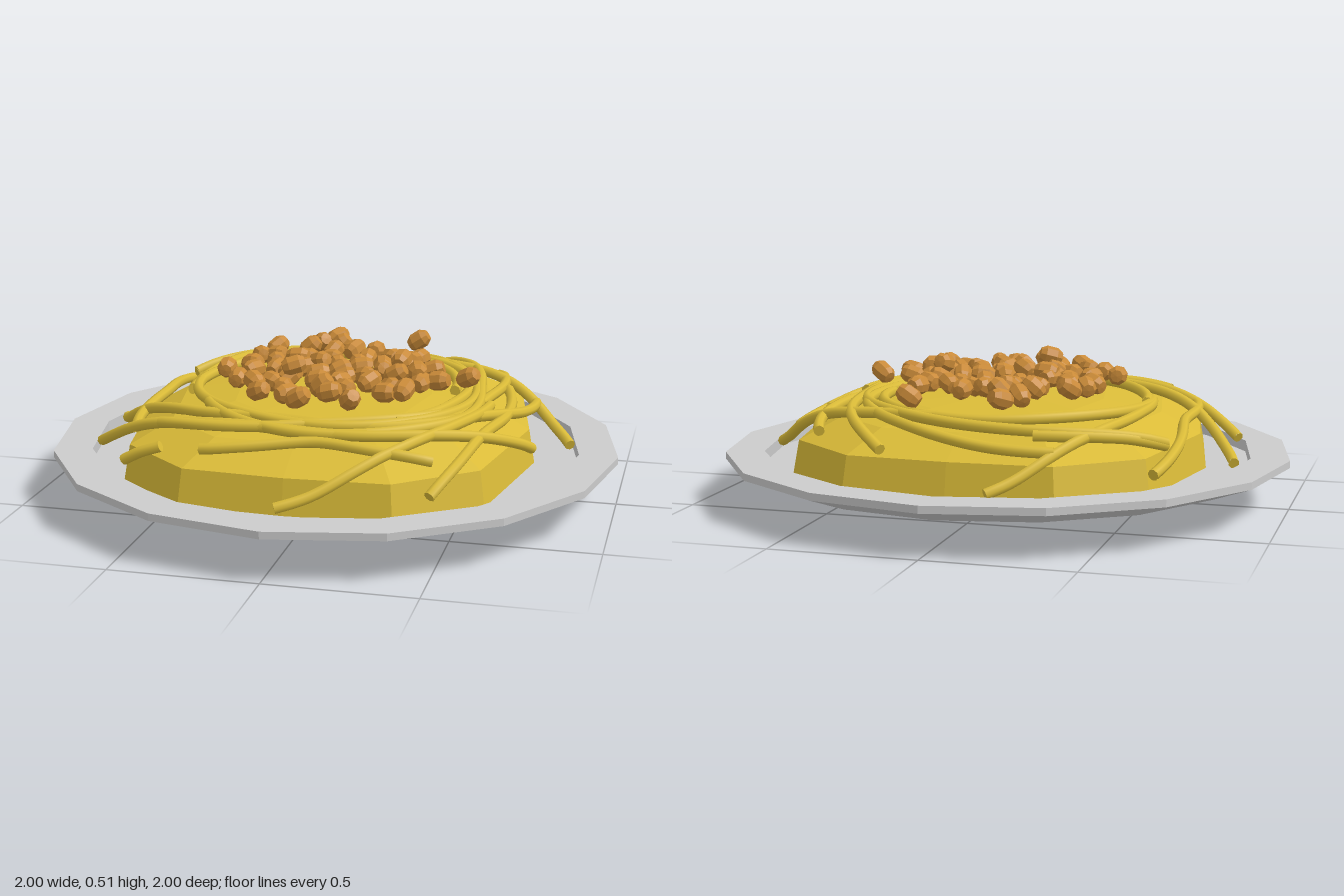
import * as THREE from 'three';

const plateGrey = new THREE.MeshStandardMaterial({ color: 0xcccccc, name: 'plateGrey' });
const pastaYellow = new THREE.MeshStandardMaterial({ color: 0xdabb38, name: 'pastaYellow' });
const meatBrown = new THREE.MeshStandardMaterial({ color: 0xc98a38, name: 'meatBrown' });

let seed = 7;
const rand = () => (seed = (seed * 16807) % 2147483647) / 2147483647;

function facet(geometry) {
  const g = geometry.toNonIndexed();
  g.computeVertexNormals();
  return g;
}

function lathe(points, sides) {
  return new THREE.LatheGeometry(points.map(([r, y]) => new THREE.Vector2(r, y)), sides);
}

function addMesh(parent, geometry, material, name) {
  const mesh = new THREE.Mesh(geometry, material);
  mesh.name = name;
  parent.add(mesh);
  return mesh;
}

function addGroup(parent, name) {
  const group = new THREE.Group();
  group.name = name;
  parent.add(group);
  return group;
}

// Mound: a twelve-sided dome, squared off towards front and back
function moundGeometry() {
  const g = lathe([[1.03, 0.13], [1, 0.25], [0.8, 0.32], [0.5, 0.355], [0, 0.375]], 12);
  const p = g.attributes.position;
  for (let i = 0; i < p.count; i++) {
    const x = p.getX(i), z = p.getZ(i), r = Math.hypot(x, z);
    const c = r > 0 ? z / r : 0;
    p.setX(i, x * 0.69);
    p.setZ(i, r * c * (1.5 - 0.5 * c * c) * 0.72);
  }
  return facet(g);
}

// Resting height of a strand over the mound and the plate floor
const drape = [[0, 0.375], [0.5, 0.363], [0.8, 0.335], [0.9, 0.31], [1, 0.262], [1.07, 0.21], [1.2, 0.16], [3, 0.16]];
function strandHeight(x, z) {
  const s = Math.cbrt(Math.abs(x / 0.69) ** 3 + Math.abs(z / 0.72) ** 3);
  const i = drape.findIndex(([r]) => r > s);
  const [r0, y0] = drape[i - 1], [r1, y1] = drape[i];
  return y0 + (y1 - y0) * (s - r0) / (r1 - r0);
}

// Strands winding round the mound: start angle, end angle, then evenly spaced radii
const strands = [
  [259, 169, 0.845, 0.66, 0.54, 0.51],
  [243, 412, 0.74, 0.61, 0.51, 0.45, 0.48],
  [210, 540, 0.74, 0.55, 0.5, 0.5, 0.46, 0.5],
  [221, 145, 0.84, 0.64, 0.73],
  [186, -24, 0.825, 0.58, 0.44, 0.5, 0.57, 0.74],
  [160, 13, 0.83, 0.54, 0.58, 0.74],
  [135, 127, 0.83, 0.75],
  [115, 52, 0.71, 0.59, 0.74],
  [90, 5, 0.83, 0.68, 0.585, 0.56],
  [56, -23, 0.835, 0.66, 0.62, 0.63],
  [-8, -78, 0.83, 0.69, 0.55, 0.49],
  [-72, 142, 0.74, 0.52, 0.56, 0.54, 0.48],
  [-47, 34, 0.74, 0.54, 0.53],
  [169, 353, 0.51, 0.5, 0.49, 0.42],
  [137, 31, 0.68, 0.46, 0.49],
  [210, 247, 0.74, 0.69, 0.64],
];

function addStrand(parent, [from, to, ...radii], lift) {
  const polar = new THREE.SplineCurve(radii.map((r, i) =>
    new THREE.Vector2(THREE.MathUtils.degToRad(from + (to - from) * i / (radii.length - 1)), r)));
  const n = radii.length * 7;
  const pts = polar.getPoints(n).map(({ x: angle, y: r }) => {
    const x = r * Math.cos(angle), z = r * Math.sin(angle);
    return new THREE.Vector3(x, strandHeight(x, z) + lift, z);
  });
  // Relax the drop over the edge of the mound
  for (let pass = 0; pass < 2; pass++) {
    for (let i = 1; i < n; i++) pts[i].y = (pts[i - 1].y + 2 * pts[i].y + pts[i + 1].y) / 4;
  }
  const curve = new THREE.CatmullRomCurve3(pts);
  addMesh(parent, new THREE.TubeGeometry(curve, n * 2, 0.019, 8), pastaYellow, 'strand');
  // Flat cut ends
  for (const t of [0, 1]) {
    const cap = addMesh(parent, new THREE.CircleGeometry(0.019, 8), pastaYellow, 'strandEnd');
    const dir = curve.getTangent(t).multiplyScalar(t ? 1 : -1);
    cap.position.copy(curve.getPoint(t));
    cap.quaternion.setFromUnitVectors(new THREE.Vector3(0, 0, 1), dir);
  }
}

// Stray and stacked meat pieces as [x, y, z]
const strayMeat = [
  [-0.11, 0.42, -0.48], [0.2, 0.42, -0.5], [-0.15, 0.42, -0.39], [0.47, 0.42, -0.01],
  [-0.11, 0.475, 0.17], [0.23, 0.465, -0.03], [0.3, 0.445, 0.04], [-0.15, 0.45, -0.04], [-0.06, 0.45, 0],
];

export function createModel() {
  const model = new THREE.Group();
  model.name = 'plateOfPasta';

  // Plate with a raised flat rim and a sunken floor
  const plate = lathe([[0, 0], [0.31, 0], [0.85, 0.09], [1, 0.145], [1, 0.17], [0.865, 0.17], [0.865, 0.13], [0, 0.13]], 16);
  addMesh(model, facet(plate), plateGrey, 'plate');

  addMesh(model, moundGeometry(), pastaYellow, 'pastaMound');

  const pasta = addGroup(model, 'looseStrands');
  strands.forEach((strand, i) => addStrand(pasta, strand, (i % 3) * 0.004));

  // Chunky faceted meat pieces lying on their sides
  const topping = addGroup(model, 'meatTopping');
  const piece = facet(lathe([[0, -0.042], [0.022, -0.04], [0.034, -0.02], [0.034, 0.02], [0.022, 0.04], [0, 0.042]], 8));
  const addMeat = (x, y, z) => {
    const m = addMesh(topping, piece, meatBrown, 'meatPiece');
    m.position.set(x, y, z);
    m.rotation.set(Math.PI / 2 + (rand() - 0.5) * 0.7, rand() * 0.8, rand() * Math.PI);
  };
  strayMeat.forEach(p => addMeat(...p));
  // Main heap scattered in a sunflower spiral
  const count = 56;
  for (let i = 0; i < count; i++) {
    const r = 0.39 * ((i + 0.5) / count) ** 0.55, angle = i * 2.39996 + (rand() - 0.5) * 0.25;
    addMeat(r * Math.cos(angle) - 0.01, 0.412 + rand() * 0.018, r * Math.sin(angle) + 0.02);
  }
  return model;
}
